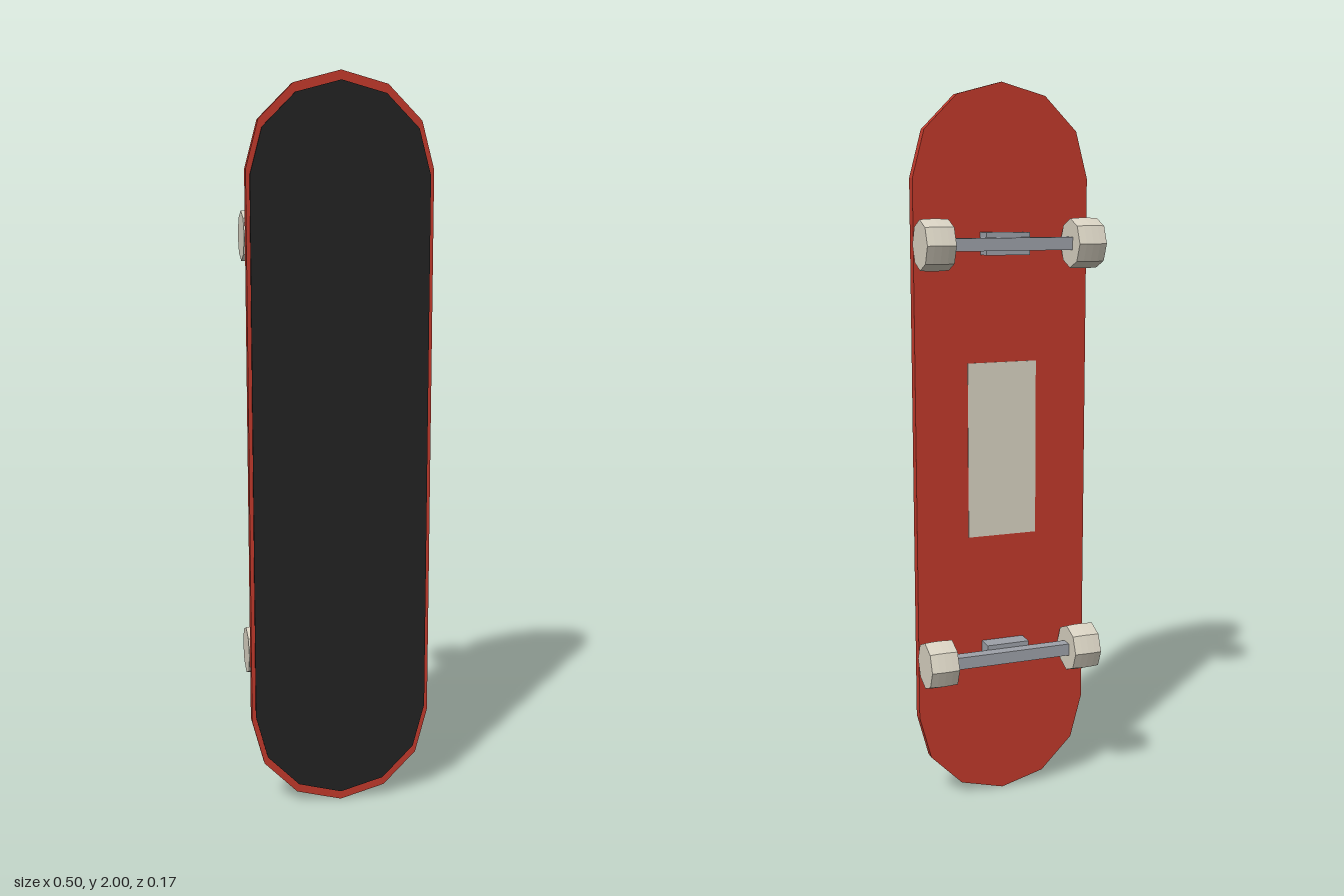
import * as THREE from 'three';

const mat = (name, color) => {
  const m = new THREE.MeshStandardMaterial({ color, flatShading: true });
  m.name = name;
  return m;
};

// Long board outline with faceted semicircular ends, centred on y = 1
function boardGeometry(radius, z, depth) {
  const pts = [];
  const straight = 0.75;
  for (const end of [0, 1]) {
    for (let i = 0; i <= 6; i++) {
      const a = end * Math.PI + (i * Math.PI) / 6;
      const cy = 1 + (end ? -straight : straight) * (radius < 0.25 ? 0.98 : 1);
      pts.push(new THREE.Vector2(Math.cos(a) * radius, cy + Math.sin(a) * radius));
    }
  }
  const g = new THREE.ExtrudeGeometry(new THREE.Shape(pts), { depth, bevelEnabled: false });
  return g.translate(0, 0, z);
}

export function createModel() {
  const model = new THREE.Group();
  model.name = 'skateboard';

  const red = mat('red deck', 0xc0392b);
  const black = mat('black grip', 0x222222);
  const cream = mat('cream', 0xd8d2c2);
  const metal = mat('grey metal', 0x9da1a8);

  const add = (parent, name, geometry, material, x = 0, y = 0, z = 0) => {
    const mesh = new THREE.Mesh(geometry, material);
    mesh.name = name;
    mesh.position.set(x, y, z);
    parent.add(mesh);
    return mesh;
  };

  // Deck, grip sheet on the front and pale panel on the back
  add(model, 'deck', boardGeometry(0.25, 0.048, 0.029), red);
  add(model, 'gripSheet', boardGeometry(0.24, 0.077, 0.006), black);
  add(model, 'backPanel', new THREE.BoxGeometry(0.2, 0.49, 0.004), cream, 0, 1.01, 0.048);

  // Eight-sided wheel with a slightly barrelled tread, axis along x
  const half = 0.0395;
  const profile = [new THREE.Vector2(0, -half)];
  for (const t of [-1, -0.5, 0, 0.5, 1]) {
    profile.push(new THREE.Vector2(0.068 - 0.002 * t * t, t * half));
  }
  profile.push(new THREE.Vector2(0, half));
  const wheelGeometry = new THREE.LatheGeometry(profile, 8).rotateZ(Math.PI / 2);

  // Two trucks, each with a mount, an axle and a pair of wheels
  for (const [name, y] of [['lowerTruck', 0.428], ['upperTruck', 1.578]]) {
    const truck = new THREE.Group();
    truck.name = name;
    truck.position.set(0, y, -0.017);
    add(truck, 'mount', new THREE.BoxGeometry(0.124, 0.06, 0.051), metal, 0, 0, 0.0405);
    add(truck, 'axle', new THREE.BoxGeometry(0.38, 0.034, 0.034), metal, 0, 0, -0.001);
    for (const side of [-1, 1]) {
      add(truck, side > 0 ? 'leftWheel' : 'rightWheel', wheelGeometry, cream, side * 0.2125, 0, 0);
    }
    model.add(truck);
  }

  return model;
}
